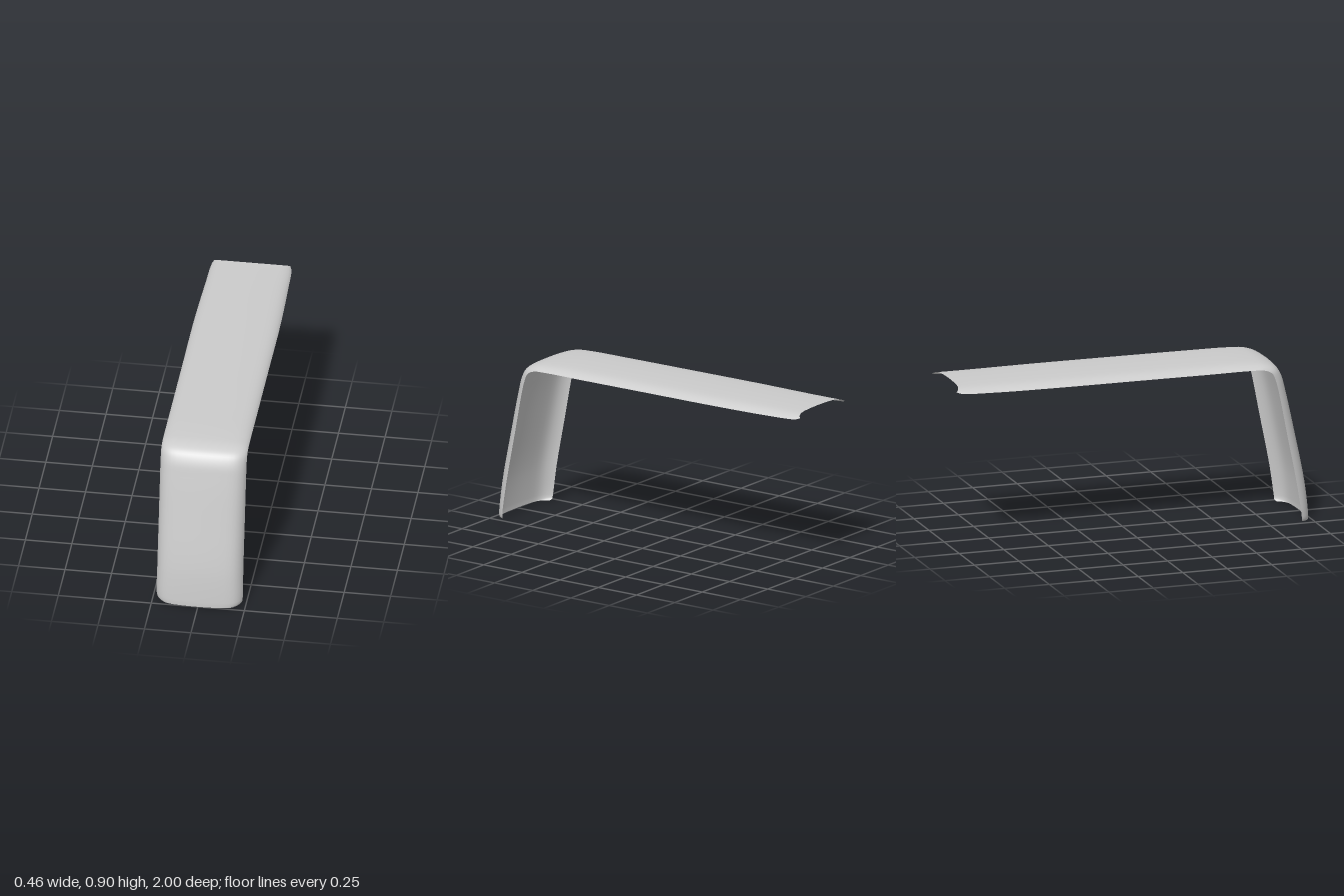
import * as THREE from 'three';

// Stations along the strip, from the foot up and back to the tail:
// [middle z, middle y, edge z, edge y, half width]
const STATIONS = [
  [1.0, 0.0, 0.94, 0.0, 0.214],
  [1.0, 0.008, 0.932, 0.008, 0.226],
  [0.999, 0.03, 0.93, 0.03, 0.231],
  [0.979, 0.21, 0.905, 0.2, 0.231],
  [0.92, 0.5, 0.85, 0.48, 0.231],
  [0.868, 0.73, 0.805, 0.71, 0.231],
  [0.845, 0.81, 0.785, 0.79, 0.231],
  [0.812, 0.857, 0.765, 0.832, 0.231],
  [0.755, 0.881, 0.725, 0.852, 0.231],
  [0.66, 0.89, 0.65, 0.857, 0.231],
  [0.4, 0.894, 0.4, 0.857, 0.231],
  [0.0, 0.896, 0.0, 0.858, 0.231],
  [-0.45, 0.897, -0.45, 0.859, 0.231],
  [-0.78, 0.897, -0.8, 0.861, 0.222],
  [-0.94, 0.897, -0.975, 0.868, 0.214],
  [-0.97, 0.897, -1.0, 0.876, 0.204],
];

// Half cross-section: [share of half width, share of drop towards the edge]
const SECTION = [
  [0, 0], [0.22, 0.015], [0.43, 0.05], [0.6, 0.1], [0.72, 0.17], [0.81, 0.27],
  [0.88, 0.41], [0.94, 0.6], [0.98, 0.81], [1, 1],
];

// Sweeps the arched cross-section along the middle line and the edge line
function sweptStrip(steps) {
  const middle = new THREE.CatmullRomCurve3(STATIONS.map(([z, y]) => new THREE.Vector3(0, y, z)));
  const edge = new THREE.CatmullRomCurve3(STATIONS.map(([, , z, y, w]) => new THREE.Vector3(w, y, z)));
  const section = [
    ...SECTION.slice(1).reverse().map(([u, f]) => [-u, f]),
    ...SECTION,
  ];
  const n = section.length;
  const positions = [];
  const index = [];
  for (let j = 0; j <= steps; j++) {
    const c = middle.getPoint(j / steps);
    const e = edge.getPoint(j / steps);
    section.forEach(([u, f], i) => {
      positions.push(u * e.x, c.y + (e.y - c.y) * f, c.z + (e.z - c.z) * f);
      if (j < steps && i < n - 1) {
        const a = j * n + i;
        index.push(a, a + 1, a + n, a + 1, a + n + 1, a + n);
      }
    });
  }
  const geometry = new THREE.BufferGeometry();
  geometry.setAttribute('position', new THREE.Float32BufferAttribute(positions, 3));
  geometry.setIndex(index);
  geometry.computeVertexNormals();
  return geometry;
}

export function createModel() {
  const group = new THREE.Group();
  group.name = 'bentCover';
  // Thin open shell: front leg, rounded bend and long top
  const material = new THREE.MeshStandardMaterial({ color: 0xcccccc, side: THREE.DoubleSide });
  const shell = new THREE.Mesh(sweptStrip((STATIONS.length - 1) * 5), material);
  shell.name = 'curvedShell';
  group.add(shell);
  return group;
}
